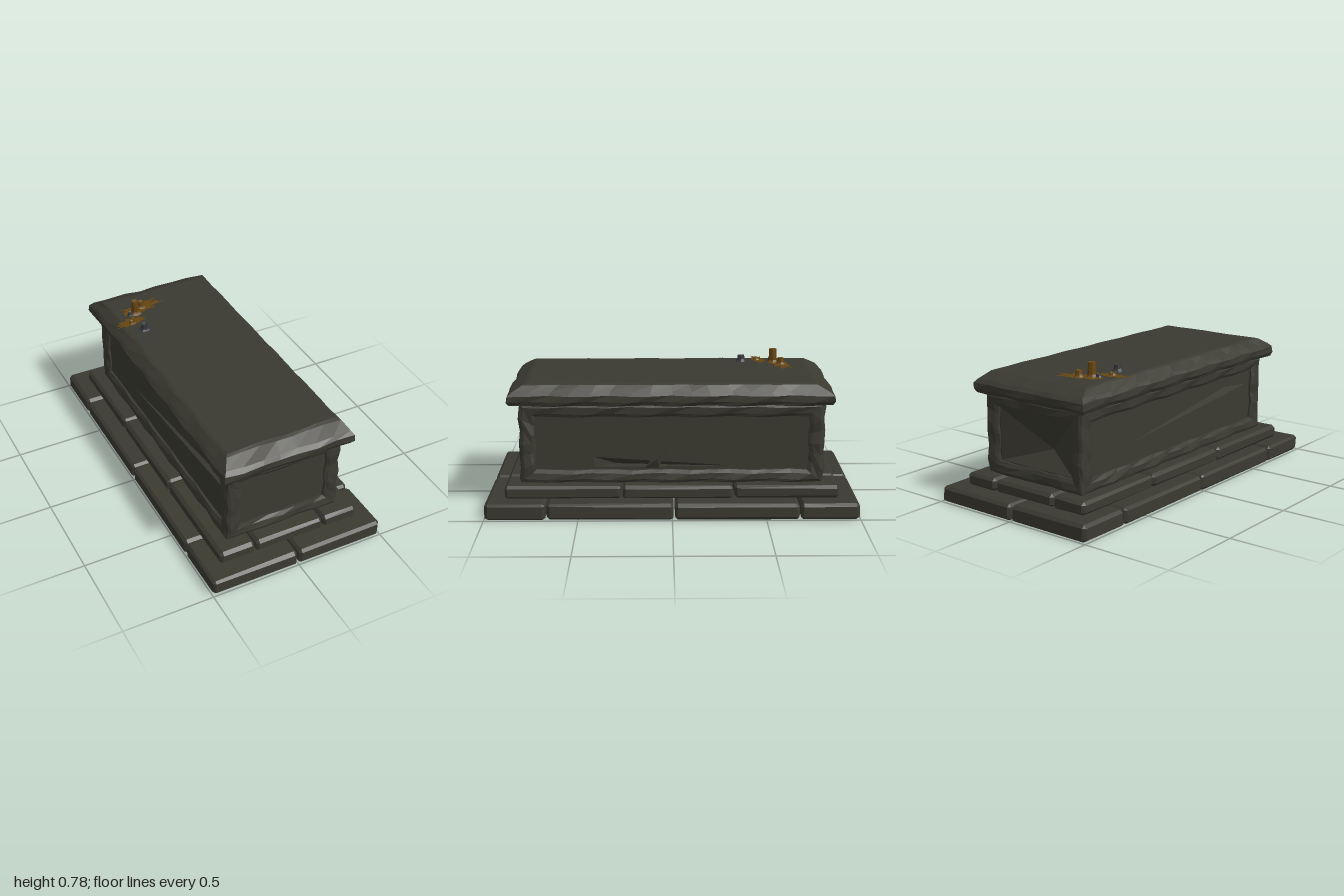
import * as THREE from 'three';
import { ConvexGeometry } from 'three/addons/geometries/ConvexGeometry.js';

const mat = (name, color) => {
  const m = new THREE.MeshStandardMaterial({ color, side: THREE.DoubleSide });
  m.name = name;
  return m;
};

export function createModel() {
  const stone = mat('weathered stone', 0x3b3a31);
  const ochre = mat('ochre wax', 0x664611);
  const grey = mat('grey wax', 0x36373a);
  const group = new THREE.Group();
  group.name = 'stoneTomb';

  let seed = 7;
  const rand = () => (seed = (seed * 16807) % 2147483647) / 2147483647;

  const add = (name, geo, material, parent = group) => {
    const m = new THREE.Mesh(geo, material);
    m.name = name;
    parent.add(m);
    return m;
  };

  const triangles = (pts) => {
    const g = new THREE.BufferGeometry().setFromPoints(pts);
    g.computeVertexNormals();
    return g;
  };

  // Worn, uneven edges: displacement depends on position only, so shared edges stay closed
  const wear = (p) => {
    const s = Math.sin(p.x * 31 + p.y * 43 + p.z * 19), c = Math.sin(p.x * 17 - p.y * 37 + p.z * 29 + 1);
    p.x -= Math.sign(p.x) * 0.005 * (s + 0.4);
    p.z -= Math.sign(p.z) * 0.005 * (c + 0.4);
    if (p.y < 0.69) p.y += 0.003 * s;
    return p;
  };

  // Rectangular rings [a0, a1, b0, b1, t] joined in order
  const loft = (rings, map, segs, capStart, capEnd) => {
    const loops = rings.map(([a0, a1, b0, b1, t]) => {
      const corners = [[a0, b0], [a1, b0], [a1, b1], [a0, b1]];
      const out = [];
      corners.forEach(([a, b], k) => {
        const [c, d] = corners[(k + 1) % 4], n = segs[k % 2];
        for (let i = 0; i < n; i++) out.push(wear(map(a + (c - a) * i / n, b + (d - b) * i / n, t)));
      });
      return out;
    });
    const pts = [];
    const n = loops[0].length;
    for (let r = 0; r + 1 < loops.length; r++) {
      const p = loops[r], q = loops[r + 1];
      for (let i = 0; i < n; i++) {
        const j = (i + 1) % n;
        pts.push(p[i], p[j], q[j], p[i], q[j], q[i]);
      }
    }
    const cap = (loop, flip) => {
      const mid = loop.reduce((s, v) => s.add(v), new THREE.Vector3()).divideScalar(n);
      loop.forEach((v, i) => {
        const w = loop[(i + 1) % n];
        pts.push(mid, flip ? w : v, flip ? v : w);
      });
    };
    if (capStart) cap(loops[0], true);
    if (capEnd) cap(loops[loops.length - 1], false);
    return triangles(pts);
  };

  // Chipped block with uneven chamfers
  const block = (name, x0, x1, y0, y1, z0, z1) => {
    const pts = [];
    for (const i of [0, 1]) for (const j of [0, 1]) for (const k of [0, 1]) {
      const c = [i ? x1 : x0, j ? y1 : y0, k ? z1 : z0], dir = [i ? -1 : 1, j ? -1 : 1, k ? -1 : 1];
      const cut = [0, 1, 2].map((a) => (a === 1 ? 0.012 : 0.014) + 0.008 * rand());
      for (let a = 0; a < 3; a++) {
        pts.push(new THREE.Vector3(...c.map((v, b) => v + dir[b] * (a === b ? 0.002 : cut[b]))));
      }
    }
    add(name, new ConvexGeometry(pts), stone);
  };

  // Stepped plinth of stone blocks
  const tier = (name, xs, zs, y0, y1) => {
    const g = 0.002;
    for (let i = 0; i + 1 < xs.length; i++) for (let k = 0; k + 1 < zs.length; k++) {
      block(name, xs[i] + g, xs[i + 1] - g, y0, y1 - 0.003 * rand(), zs[k] + g, zs[k + 1] - g);
    }
  };
  tier('lowerStepBlock', [-0.5, 0, 0.5], [-1, -0.68, -0.01, 0.67, 1], -0.002, 0.092);
  tier('upperStepBlock', [-0.41, -0.2, 0.2, 0.405], [-0.9, -0.33, 0.27, 0.9], 0.085, 0.162);

  // Solid core behind the panels
  const core = add('chestCore', new THREE.BoxGeometry(0.44, 0.43, 1.4), stone);
  core.position.y = 0.372;

  // Faceted hollow (or ridge) from an outline to one apex
  const dent = (outline, apex, t) => {
    const pts = [];
    outline.forEach(([u, v], i) => {
      const [a, b] = outline[(i + 1) % outline.length];
      pts.push(new THREE.Vector3(u, v, t), new THREE.Vector3(a, b, t), new THREE.Vector3(...apex));
    });
    return triangles(pts);
  };

  // Four framed sides of the chest, each with a sunken panel
  const sides = [
    { name: 'front', half: 0.335, dist: 0.82, inner: 0.252 },
    { name: 'left', half: 0.82, dist: 0.335, inner: 0.735,
      hole: [[-0.42, 0.24], [0.35, 0.243], [-0.42, 0.295]], apex: [-0.3, 0.238], ridge: true },
    { name: 'back', half: 0.335, dist: 0.82, inner: 0.252,
      hole: [[-0.245, 0.23], [0.245, 0.23], [0.245, 0.515], [-0.245, 0.515]], apex: [0.06, 0.33] },
    { name: 'right', half: 0.82, dist: 0.335, inner: 0.735,
      hole: [[-0.4, 0.33], [0.7, 0.44], [0.7, 0.5]], apex: [0.5, 0.44] },
  ];
  sides.forEach((s, k) => {
    const side = new THREE.Group();
    side.name = s.name + 'Panel';
    side.rotation.y = k * Math.PI / 2;
    group.add(side);
    const up = new THREE.Vector3(0, 1, 0);
    const map = (u, v, t) => new THREE.Vector3(u, v, t).applyAxisAngle(up, k * Math.PI / 2);
    const { half: h, dist: d, inner: n } = s;
    const rings = [
      [-h + 0.008, h - 0.008, 0.157, 0.592, d - 0.008],
      [-h + 0.024, h - 0.024, 0.175, 0.575, d],
      [-n - 0.02, n + 0.02, 0.207, 0.538, d - 0.004],
      [-n, n, 0.226, 0.521, d - 0.014],
      [-n, n, 0.226, 0.521, d - 0.04],
    ];
    add(s.name + 'Frame', loft(rings, map, [h > 0.5 ? 14 : 6, 6], false, false), stone);

    const t = d - 0.028, e = n + 0.012;
    const shape = new THREE.Shape([[-e, 0.215], [e, 0.215], [e, 0.532], [-e, 0.532]].map((p) => new THREE.Vector2(...p)));
    if (s.hole) {
      shape.holes.push(new THREE.Path(s.hole.map((p) => new THREE.Vector2(...p))));
      add('brokenHollow', dent(s.hole, [...s.apex, t - 0.07], t), stone, side);
    }
    add('sunkenPanel', new THREE.ShapeGeometry(shape), stone, side).position.z = t;
    if (s.ridge) {
      add('brokenSliver', dent([[-0.15, 0.232], [-0.07, 0.236], [0.01, 0.42]], [-0.08, 0.29, t + 0.022], t), stone, side);
    }
  });

  // Bevelled lid slab
  const lidRings = [
    [-0.34, 0.33, -0.83, 0.83, 0.586],
    [-0.366, 0.358, -0.86, 0.85, 0.59],
    [-0.378, 0.368, -0.875, 0.865, 0.612],
    [-0.378, 0.368, -0.875, 0.865, 0.645],
    [-0.362, 0.355, -0.855, 0.845, 0.664],
    [-0.325, 0.33, -0.79, 0.775, 0.698],
    [-0.31, 0.315, -0.77, 0.755, 0.704],
  ];
  add('lid', loft(lidRings, (a, b, t) => new THREE.Vector3(a, t, -b), [7, 16], true, true), stone);

  // Jagged pools of spilt wax
  const splat = (name, x, z, rx, rz, turn, material) => {
    const pts = [];
    for (let i = 0; i < 22; i++) {
      const a = i / 22 * Math.PI * 2, r = (i % 2 ? 0.4 : 0.75) + 0.3 * rand();
      pts.push(new THREE.Vector2(Math.cos(a) * rx * r, Math.sin(a) * rz * r));
    }
    const m = add(name, new THREE.ShapeGeometry(new THREE.Shape(pts)).rotateX(-Math.PI / 2), material);
    m.position.set(x, 0.7065, z);
    m.rotation.y = turn;
  };
  splat('ochreWaxPool', -0.15, -0.615, 0.17, 0.06, 0.25, ochre);
  splat('ochreWaxPool', -0.26, -0.5, 0.11, 0.045, 0.2, ochre);
  splat('greyWaxPool', -0.22, -0.4, 0.075, 0.06, 0.5, grey);
  splat('greyWaxPool', -0.28, -0.31, 0.05, 0.025, 0.9, grey);

  // Candle stubs with melted feet
  const candle = (x, z, top, r, material) => {
    const profile = [[r * 1.7, 0.703], [r * 1.15, 0.713], [r, 0.72], [r * 0.9, top], [r * 0.6, top - 0.003], [0, top - 0.008]];
    const geo = new THREE.LatheGeometry(profile.map((p) => new THREE.Vector2(...p)), 8).toNonIndexed();
    geo.computeVertexNormals();
    add('candle', geo, material).position.set(x, 0, z);
  };
  candle(-0.2, -0.58, 0.782, 0.023, ochre);
  candle(-0.147, -0.62, 0.741, 0.019, ochre);
  candle(-0.222, -0.4, 0.741, 0.021, grey);
  candle(-0.235, -0.57, 0.725, 0.012, grey);
  candle(-0.26, -0.49, 0.717, 0.014, ochre);

  return group;
}
